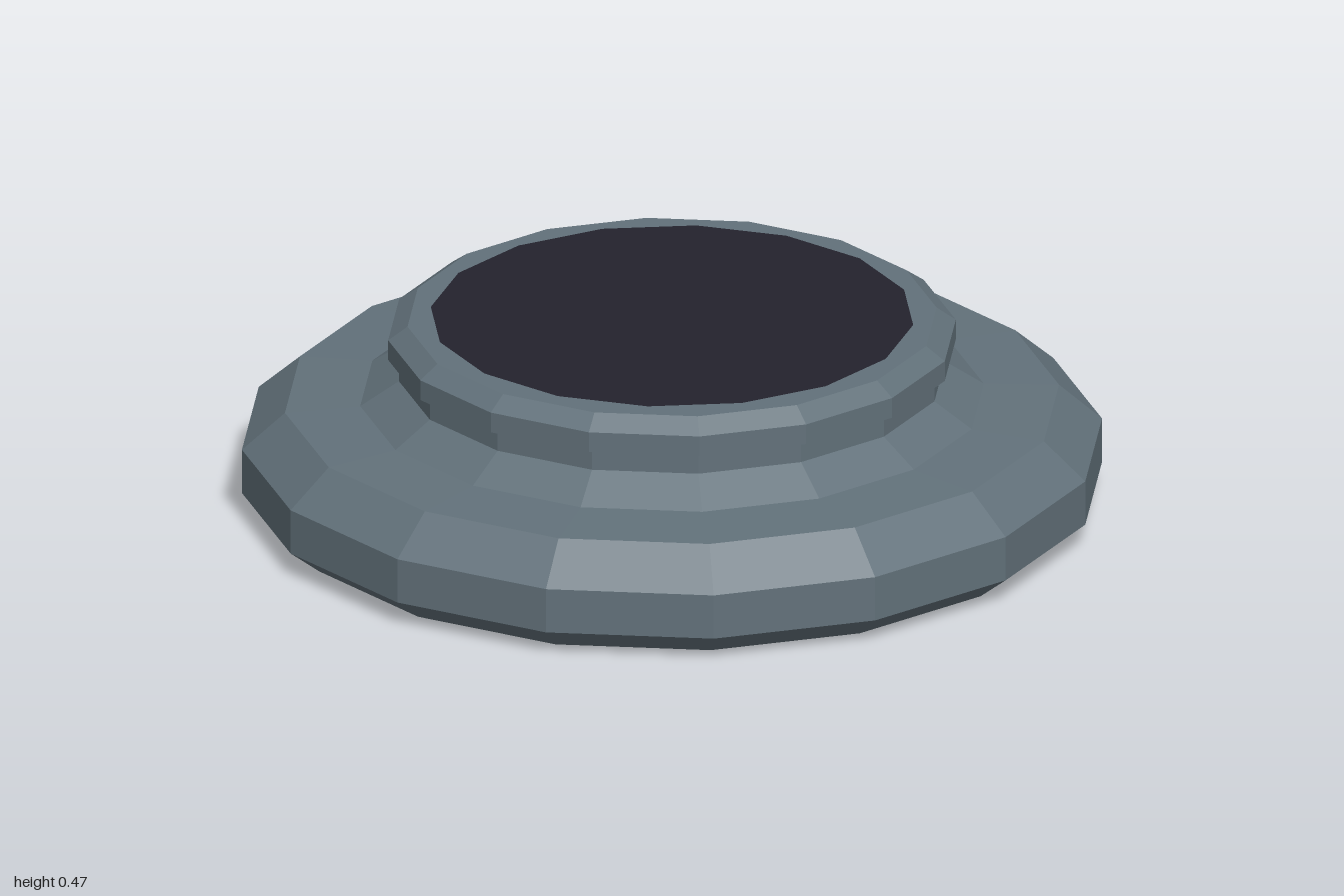
import * as THREE from 'three';

const SIDES = 16;

export function createModel() {
  const group = new THREE.Group();
  group.name = 'roundPedestal';

  const slate = new THREE.MeshStandardMaterial({ color: 0x62717a, flatShading: true });
  slate.name = 'slate grey';
  const dark = new THREE.MeshStandardMaterial({ color: 0x23222d, flatShading: true });
  dark.name = 'dark navy';

  // Faceted turned ring; profile is [distance to flat side, height]
  const turned = (name, profile) => {
    const k = 1 / Math.cos(Math.PI / SIDES);
    const points = profile.map(([r, y]) => new THREE.Vector2(r * k, y));
    const mesh = new THREE.Mesh(
      new THREE.LatheGeometry(points, SIDES, Math.PI / SIDES), slate);
    mesh.name = name;
    group.add(mesh);
  };

  // Wide bevelled foot, sloping shoulder and neck
  turned('base', [
    [0, 0], [0.925, 0], [1, 0.06], [1, 0.17], [0.9, 0.26],
    [0.725, 0.27], [0.635, 0.33], [0.635, 0.38],
  ]);

  // Overhanging rim with chamfered top edge
  turned('rim', [
    [0.635, 0.38], [0.66, 0.385], [0.66, 0.435], [0.615, 0.468], [0, 0.468],
  ]);

  // Dark inset disc on top
  const disc = new THREE.Mesh(new THREE.CircleGeometry(0.572, SIDES), dark);
  disc.name = 'topDisc';
  disc.rotation.x = -Math.PI / 2;
  disc.position.y = 0.471;
  group.add(disc);

  return group;
}
